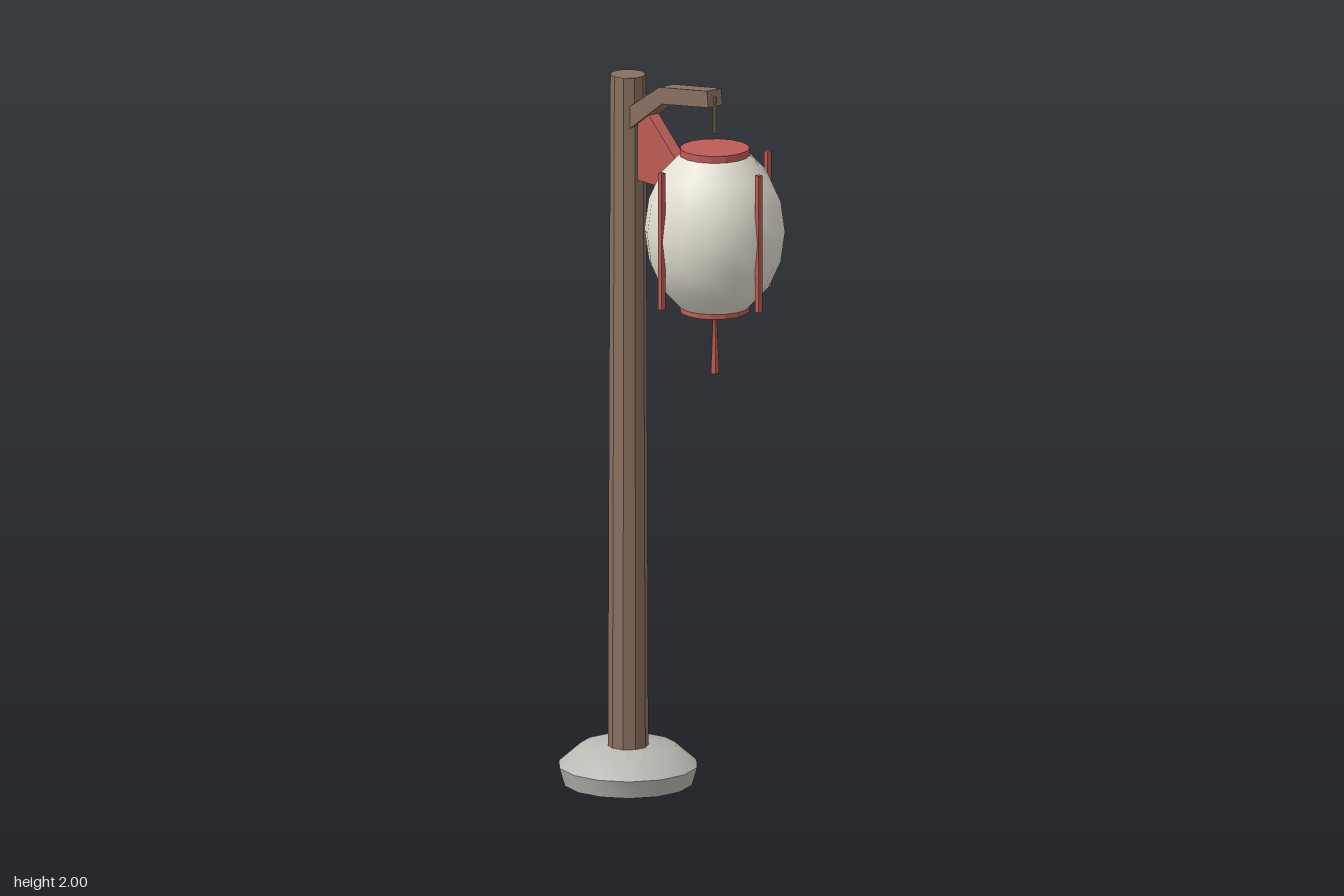
import * as THREE from 'three';
import { toCreasedNormals } from 'three/addons/utils/BufferGeometryUtils.js';

const POST_X = -0.187, LAMP_X = 0.178;

const paint = (color, flatShading = false) => new THREE.MeshStandardMaterial({ color, flatShading });
const wood = paint(0x8a7060, true);
const red = paint(0xbd5c56, true);
const stone = paint(0xbab9b3);
const paper = paint(0xe4e0d3);
const cordMat = paint(0x7d705c, true);

function add(parent, name, geometry, material, x = 0, y = 0, z = 0) {
  const mesh = new THREE.Mesh(geometry, material);
  mesh.name = name;
  mesh.position.set(x, y, z);
  parent.add(mesh);
  return mesh;
}

const lathe = (points, sides) =>
  new THREE.LatheGeometry(points.map(([r, y]) => new THREE.Vector2(r, y)), sides);

// Flat outline in the xy plane, thickened evenly about z = 0
function slab(points, depth) {
  const shape = new THREE.Shape(points.map(([x, y]) => new THREE.Vector2(x, y)));
  return new THREE.ExtrudeGeometry(shape, { depth, bevelEnabled: false }).translate(0, 0, -depth / 2);
}

export function createModel() {
  const model = new THREE.Group();
  model.name = 'lanternPost';

  // Stone foot and tapered post
  const foot = lathe([[0, 0], [0.175, 0], [0.19, 0.05], [0.13, 0.103], [0, 0.103]], 14);
  add(model, 'base', toCreasedNormals(foot, 0.9), stone, POST_X);
  add(model, 'post', new THREE.CylinderGeometry(0.048, 0.055, 1.92, 10), wood, POST_X, 1.01);

  // Bent arm
  add(model, 'arm', slab([
    [-0.17, 1.815], [-0.016, 1.925], [0.181, 1.955], [0.175, 2.0], [-0.026, 1.97], [-0.17, 1.878],
  ], 0.05), wood);

  // Brace plate under the arm
  add(model, 'bracePlate', slab([
    [-0.127, 1.69], [0.003, 1.69], [0.058, 1.757], [-0.115, 1.912], [-0.127, 1.912],
  ], 0.034), red);

  // Hanging lantern
  const lantern = new THREE.Group();
  lantern.name = 'lantern';
  lantern.position.x = LAMP_X;
  model.add(lantern);

  add(lantern, 'hanger', new THREE.CylinderGeometry(0.006, 0.006, 0.1, 6), cordMat, 0, 1.93);

  // Paper body: an upright ellipsoid cut off at the caps
  const profile = [];
  for (let i = 0; i <= 6; i++) {
    const a = THREE.MathUtils.degToRad(-60 + i * 20);
    profile.push([0.19 * Math.cos(a), 1.61 + 0.243 * Math.sin(a)]);
  }
  add(lantern, 'paperBody', lathe(profile, 16), paper);

  for (const [name, y] of [['topCap', 1.822], ['bottomCap', 1.403]]) {
    add(lantern, name, new THREE.CylinderGeometry(0.094, 0.094, 0.035, 16), red, 0, y);
  }

  // Four upright ribs
  for (let i = 0; i < 4; i++) {
    const a = i * Math.PI / 2;
    add(lantern, 'rib', new THREE.BoxGeometry(0.014, 0.38, 0.014), red,
      0.185 * Math.sin(a), 1.61, 0.185 * Math.cos(a));
  }

  // Tassel
  add(lantern, 'tassel', new THREE.CylinderGeometry(0.005, 0.013, 0.175, 6), red, 0, 1.3);
  return model;
}
